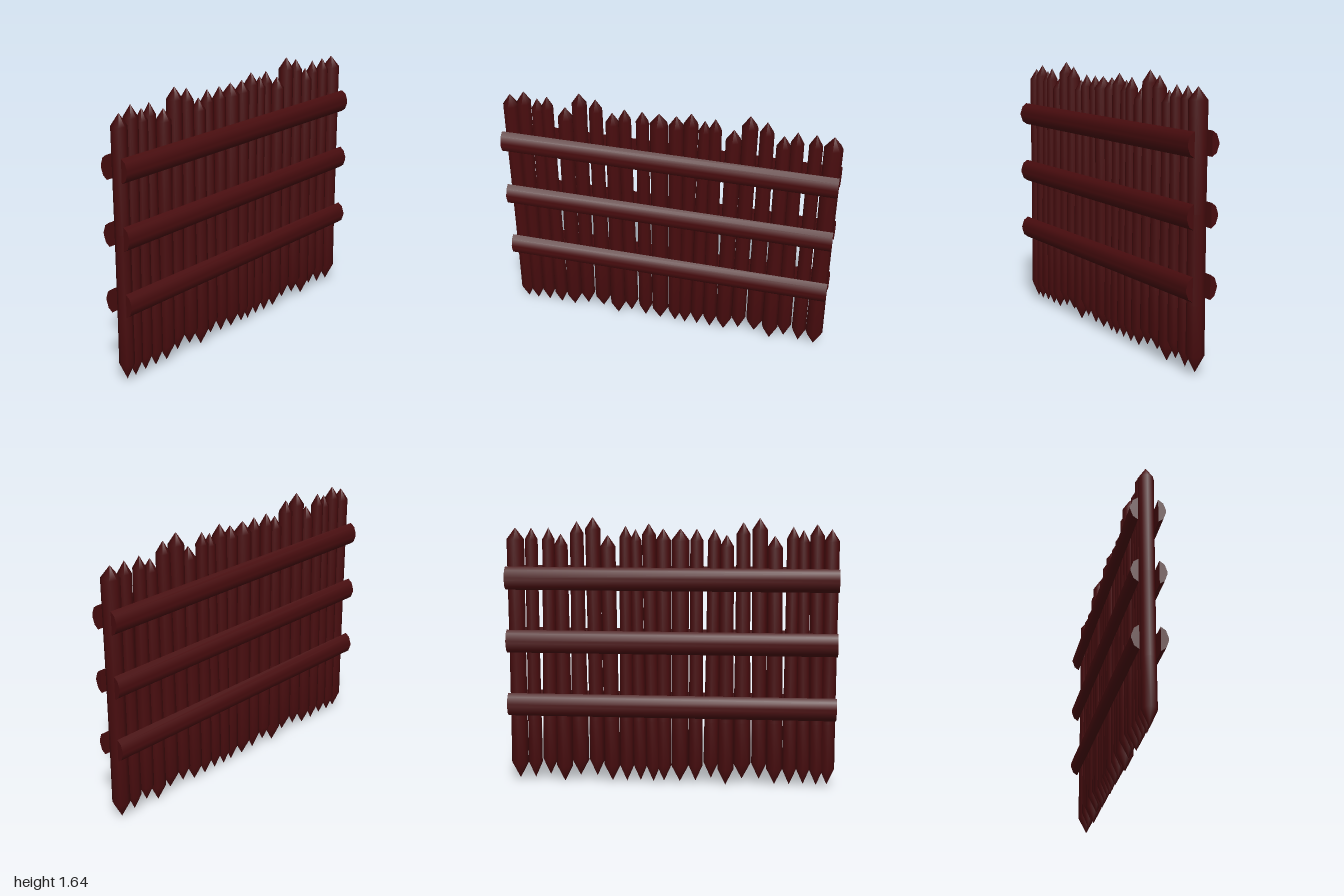
import * as THREE from 'three';
import { toCreasedNormals } from 'three/addons/utils/BufferGeometryUtils.js';

const wood = new THREE.MeshStandardMaterial({ color: 0x480c0e });

// One section of stakes: bottom x, bottom y, bottom radius, top x, top y, top radius
const STAKES = [
  [-0.955, 0.015, 0.045, -0.952, 1.575, 0.046],
  [-0.89, 0.01, 0.043, -0.865, 1.605, 0.043],
  [-0.81, 0.015, 0.043, -0.785, 1.57, 0.036],
  [-0.725, 0.01, 0.044, -0.725, 1.59, 0.037],
  [-0.635, 0.01, 0.05, -0.617, 1.535, 0.046],
  [-0.54, 0.04, 0.046, -0.527, 1.64, 0.046],
  [-0.435, 0.04, 0.053, -0.43, 1.615, 0.041],
  [-0.335, 0.0, 0.05, -0.332, 1.54, 0.042],
  [-0.245, 0.04, 0.046, -0.258, 1.575, 0.038],
  [-0.15, 0.02, 0.044, -0.153, 1.575, 0.039],
  [-0.053, 0.015, 0.053, -0.055, 1.575, 0.054],
];

// Eight-sided stake pointed at both ends, leaning from its bottom to its top
function stakeGeometry([x0, y0, r0, x1, y1, r1]) {
  const profile = [
    [0, y0], [r0, y0 + 0.1], [r0 * 0.97, 0.4],
    [(r0 + r1) * 0.48, 0.9], [r1, y1 - 0.07], [0, y1],
  ].map(([r, y]) => new THREE.Vector2(r, y));
  const geometry = new THREE.LatheGeometry(profile, 8);
  const p = geometry.attributes.position;
  for (let i = 0; i < p.count; i++) {
    const t = (p.getY(i) - y0) / (y1 - y0);
    p.setX(i, p.getX(i) + x0 + (x1 - x0) * t);
  }
  return geometry;
}

// Split log: flat against the stakes, rounded outside
function railGeometry() {
  const half = [[-0.057, 0.07], [-0.085, 0.05], [-0.1, 0.008]];
  const outline = [...half, ...half.map(([z, y]) => [z, -y]).reverse()];
  const shape = new THREE.Shape(outline.map(([z, y]) => new THREE.Vector2(z, y)));
  const geometry = new THREE.ExtrudeGeometry(shape, { depth: 2, bevelEnabled: false });
  geometry.translate(0, 0, -1);
  geometry.rotateY(Math.PI / 2);
  return toCreasedNormals(geometry, 0.95);
}

export function createModel() {
  const fence = new THREE.Group();
  fence.name = 'palisadeFence';

  // Two identical sections of stakes side by side
  const geometries = STAKES.map(stakeGeometry);
  for (let section = 0; section < 2; section++) {
    const group = new THREE.Group();
    group.name = section ? 'leftStakes' : 'rightStakes';
    geometries.forEach((geometry) => {
      const stake = new THREE.Mesh(geometry, wood);
      stake.name = 'stake';
      group.add(stake);
    });
    group.position.x = section;
    fence.add(group);
  }

  // Three rails on the front, turned round for the back
  const rail = railGeometry();
  for (const y of [0.497, 0.89, 1.275]) {
    for (const back of [false, true]) {
      const mesh = new THREE.Mesh(rail, wood);
      mesh.name = back ? 'backRail' : 'frontRail';
      mesh.position.y = y;
      mesh.rotation.y = back ? Math.PI : 0;
      fence.add(mesh);
    }
  }
  return fence;
}
